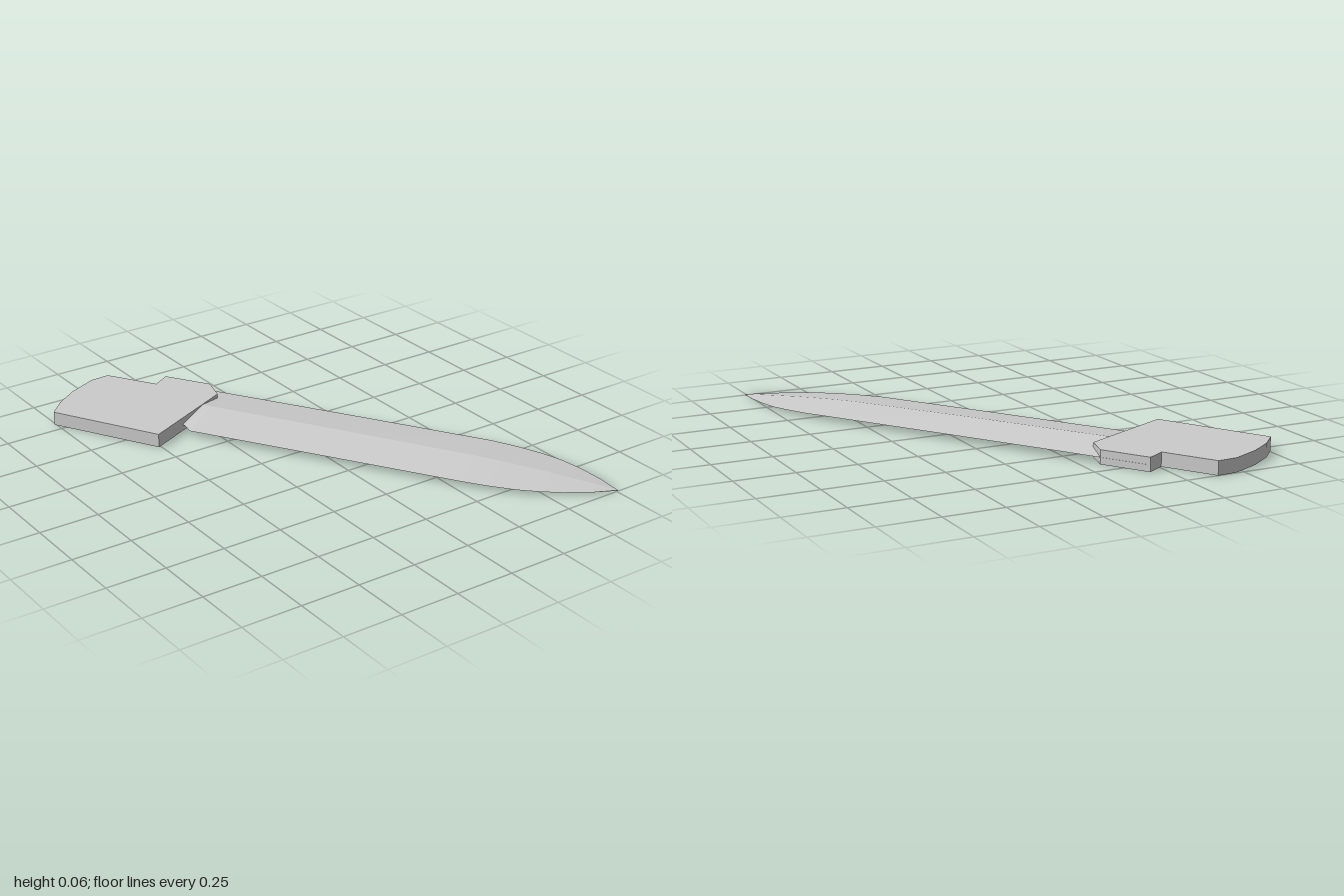
import * as THREE from 'three';

const material = new THREE.MeshStandardMaterial({ color: 0xcccccc, flatShading: true, side: THREE.DoubleSide });

// Blade stations: [along, back half-width, front half-width, edge height, ridge height]
const STATIONS = [
  [-0.80, 0.20, 0.16, 0.028, 0.056],
  [-0.548, 0.20, 0.16, 0.028, 0.056],
  [-0.506, 0.20, 0.20, 0.028, 0.055],
  [0.10, 0.20, 0.20, 0.026, 0.051],
  [0.665, 0.199, 0.199, 0.023, 0.044],
  [0.779, 0.192, 0.190, 0.020, 0.040],
  [0.888, 0.176, 0.174, 0.017, 0.034],
  [0.98, 0.153, 0.148, 0.014, 0.028],
  [1.064, 0.117, 0.115, 0.011, 0.021],
  [1.161, 0.064, 0.064, 0.007, 0.013],
  [1.25, 0.002, 0.002, 0.002, 0.004],
];

// Diamond cross-sections joined in a loop and capped at both ends
function bladeGeometry() {
  const centre = -0.10;
  const positions = [];
  const index = [];
  for (const [s, back, front, edge, ridge] of STATIONS) {
    positions.push(s, edge, centre - back, s, ridge, centre, s, edge, centre + front, s, 0, centre);
  }
  for (let i = 0; i < STATIONS.length - 1; i++) {
    for (let k = 0; k < 4; k++) {
      const a = i * 4 + k;
      const b = i * 4 + ((k + 1) % 4);
      index.push(a, b, a + 4, b, b + 4, a + 4);
    }
  }
  const e = (STATIONS.length - 1) * 4;
  index.push(0, 2, 1, 0, 3, 2, e, e + 1, e + 2, e, e + 2, e + 3);
  const g = new THREE.BufferGeometry();
  g.setAttribute('position', new THREE.Float32BufferAttribute(positions, 3));
  g.setIndex(index);
  g.computeVertexNormals();
  return g;
}

// Flat block with a slanted front and a bowed rear end
function handleGeometry() {
  const outline = [
    [-0.526, -0.217], [-0.60, -0.299], [-0.812, -0.299], [-0.814, -0.211], [-1.05, -0.213],
    [-1.092, -0.139], [-1.11, -0.008], [-1.105, 0.114], [-1.082, 0.208], [-0.582, 0.233],
  ];
  const shape = new THREE.Shape(outline.map(([s, w]) => new THREE.Vector2(s, -w)));
  const g = new THREE.ExtrudeGeometry(shape, { depth: 0.058, bevelEnabled: false });
  g.rotateX(-Math.PI / 2);
  return g;
}

export function createModel() {
  const model = new THREE.Group();
  model.name = 'knife';
  const parts = { blade: bladeGeometry(), handle: handleGeometry() };
  for (const [name, geometry] of Object.entries(parts)) {
    const mesh = new THREE.Mesh(geometry, material);
    mesh.name = name;
    model.add(mesh);
  }
  // Lies diagonally, tip towards the back left
  model.rotation.y = 0.568;
  return model;
}
